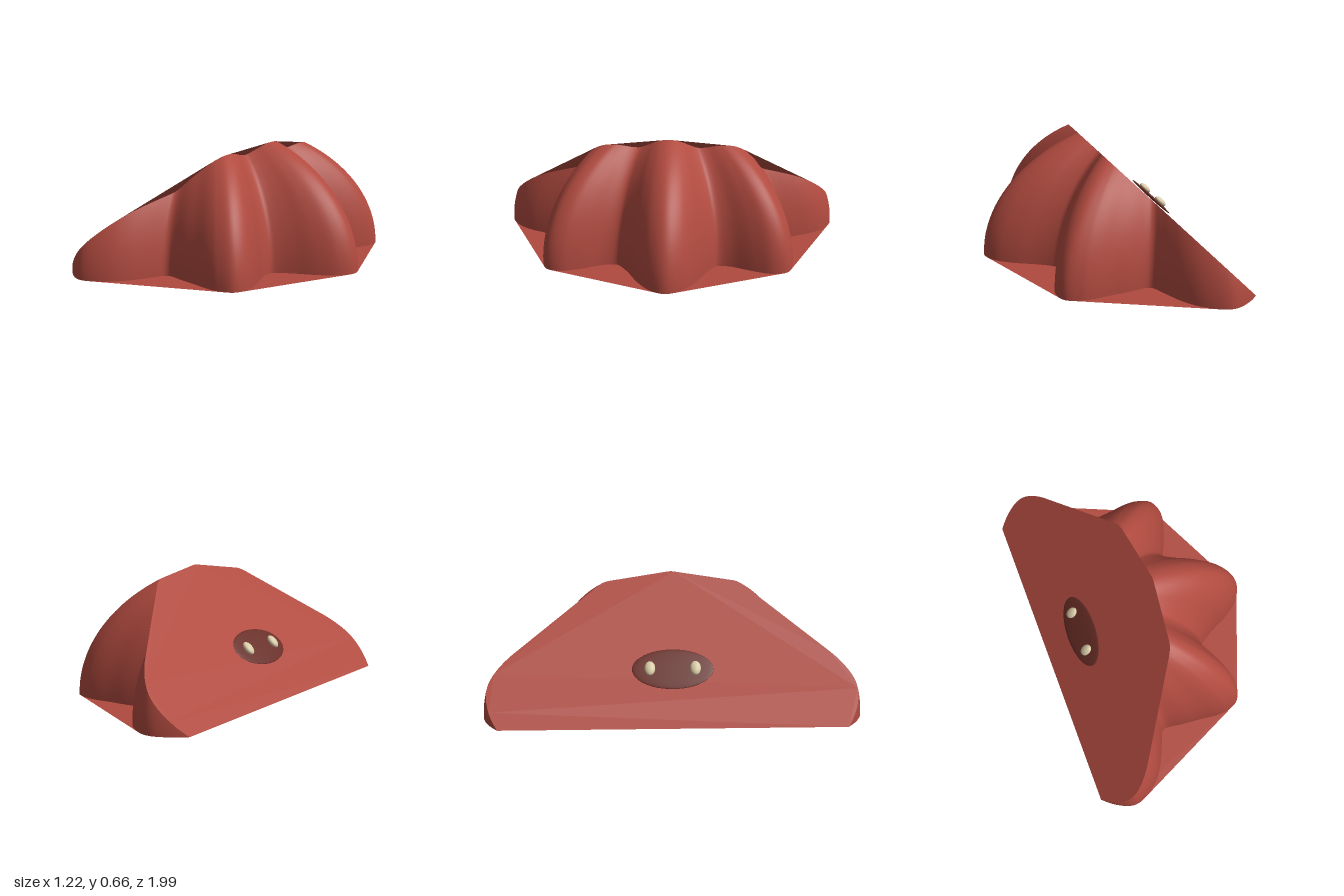
import * as THREE from 'three';

const CX = -0.39;   // dome axis
const CUT = 0.61;   // slanted cut plane: y = x + CUT
const H = 0.735;    // full dome height

// convex outline of a set of 2D points
function hull(points) {
  const sorted = [...points].sort((a, b) => a.x - b.x || a.y - b.y);
  const half = (list) => {
    const out = [];
    for (const p of list) {
      while (out.length > 1) {
        const a = out[out.length - 2], b = out[out.length - 1];
        if ((b.x - a.x) * (p.y - a.y) - (b.y - a.y) * (p.x - a.x) > 1e-9) break;
        out.pop();
      }
      out.push(p);
    }
    out.pop();
    return out;
  };
  return [...half(sorted), ...half(sorted.reverse())];
}

export function createModel() {
  const model = new THREE.Group();
  model.name = 'flutedHold';
  const red = new THREE.MeshStandardMaterial({ color: 0xb04a3f, side: THREE.DoubleSide });
  red.name = 'brick red';
  const maroon = new THREE.MeshStandardMaterial({ color: 0x682d26 });
  maroon.name = 'dark maroon';
  const cream = new THREE.MeshStandardMaterial({ color: 0xd8caa6 });
  cream.name = 'cream';

  const add = (geometry, material, name) => {
    const mesh = new THREE.Mesh(geometry, material);
    mesh.name = name;
    model.add(mesh);
    return mesh;
  };

  // fluted footprint: [degrees, radius] for one half, mirrored to the other
  const side = [
    [0, 0.996], [5, 0.96], [10, 0.876], [15, 0.785], [20, 0.725], [24, 0.708],
    [29, 0.755], [34, 0.86], [38, 0.94], [42.5, 0.972], [47, 0.942], [50, 0.905],
    [55, 0.83], [60, 0.775], [66, 0.718], [69.5, 0.71], [72.5, 0.745], [76, 0.802],
    [80, 0.872], [84.5, 0.935], [90, 0.986], [94, 0.996], [99, 0.968], [103.74, 0.926],
  ];
  const polar = [...side.slice(1).reverse().map(([d, r]) => [-d, r]), ...side];
  const outline = new THREE.SplineCurve(polar.map(([d, r]) => new THREE.Vector2(d, r))).getPoints(368);

  // dome wall: each column climbs an ellipse from the ground to the cut
  const ROWS = 40;
  const positions = [], index = [], foot = [], rim = [];
  outline.forEach(({ x: deg, y: r }, i) => {
    const t = THREE.MathUtils.degToRad(deg);
    const a = r * Math.cos(t);
    const top = Math.max(0, Math.atan2(a, H) + Math.asin((CX + CUT) / Math.hypot(a, H)));
    for (let j = 0; j <= ROWS; j++) {
      const phi = top * j / ROWS;
      const x = CX + a * Math.cos(phi), z = r * Math.sin(t) * Math.cos(phi);
      positions.push(x, H * Math.sin(phi), z);
      if (j === 0) foot.push(new THREE.Vector2(x, z));
      if (j === ROWS) rim.push(new THREE.Vector2(x, z));
      if (i > 0 && j < ROWS) {
        const q = i * (ROWS + 1) + j, p = q - ROWS - 1;
        index.push(p, p + 1, q, q, p + 1, q + 1);
      }
    }
  });
  const wall = new THREE.BufferGeometry();
  wall.setAttribute('position', new THREE.Float32BufferAttribute(positions, 3));
  wall.setIndex(index);
  wall.computeVertexNormals();
  add(wall, red, 'flutedWall');

  // flat base spanning the ridge feet
  const base = new THREE.ShapeGeometry(new THREE.Shape(hull(foot)));
  base.rotateX(Math.PI / 2);
  add(base, red, 'base');

  // slanted face spanning the cut rim
  const face = new THREE.ShapeGeometry(new THREE.Shape(hull(rim)));
  face.rotateX(-Math.PI / 2);
  const pos = face.attributes.position;
  for (let i = 0; i < pos.count; i++) pos.setY(i, pos.getX(i) + CUT);
  face.computeVertexNormals();
  add(face, red, 'slantedFace');

  // oval patch and two beads lying on the slanted face
  const ellipsoid = (name, material, x, y, z, along, thick, wide) => {
    const mesh = add(new THREE.SphereGeometry(1, 48, 24), material, name);
    mesh.scale.set(along, thick, wide);
    mesh.rotation.z = Math.PI / 4;
    mesh.position.set(x, y, z);
  };
  ellipsoid('ovalPatch', maroon, -0.388, 0.241, 0, 0.114, 0.009, 0.215);
  for (const s of [1, -1]) {
    ellipsoid(s > 0 ? 'leftBead' : 'rightBead', cream, -0.4, 0.251, s * 0.12, 0.04, 0.018, 0.028);
  }
  return model;
}
